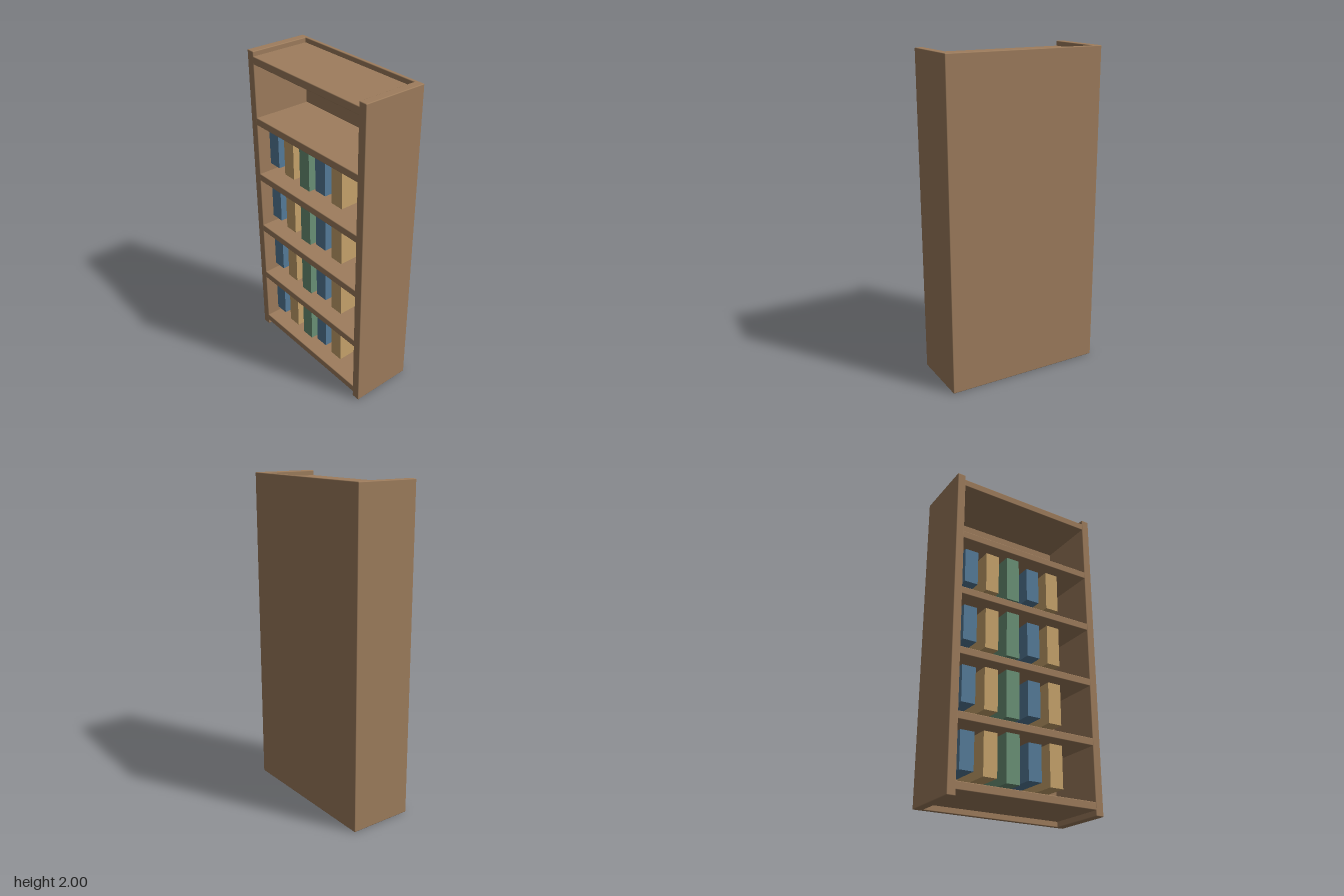
import * as THREE from 'three';
import { RoundedBoxGeometry } from 'three/addons/geometries/RoundedBoxGeometry.js';

function material(name, color) {
  const m = new THREE.MeshStandardMaterial({ color });
  m.name = name;
  return m;
}

export function createModel() {
  const group = new THREE.Group();
  group.name = 'bookcase';
  const wood = material('wood', 0x9e7d5d);
  const blue = material('blue cover', 0x567d9b);
  const tan = material('tan cover', 0xc9a56d);
  const green = material('green cover', 0x6c9378);

  function add(name, geometry, mat, x, y, z) {
    const mesh = new THREE.Mesh(geometry, mat);
    mesh.name = name;
    mesh.position.set(x, y, z);
    group.add(mesh);
  }
  const board = (w, h, d) => new RoundedBoxGeometry(w, h, d, 2, 0.005);

  // Upright sides and full back panel
  const side = board(0.053, 2, 0.4);
  add('leftSide', side, wood, 0.4735, 1, 0);
  add('rightSide', side, wood, -0.4735, 1, 0);
  add('backPanel', board(1, 2, 0.022), wood, 0, 1, -0.189);

  // Six evenly spaced shelves
  const pitch = 0.378;
  const firstShelf = 0.057;
  const shelf = board(0.91, 0.047, 0.39);
  for (let i = 0; i < 6; i++) {
    add(`shelf${i + 1}`, shelf, wood, 0, firstShelf + i * pitch, 0.004);
  }

  // Five books in each of the four lower bays, cycling through three sizes
  const kinds = [
    { mat: blue, h: 0.22 },
    { mat: tan, h: 0.255 },
    { mat: green, h: 0.288 },
  ].map(({ mat, h }) => ({ mat, geometry: new THREE.BoxGeometry(0.087, h, 0.288) }));
  for (let row = 0; row < 4; row++) {
    for (let i = 0; i < 5; i++) {
      const { mat, geometry } = kinds[i % 3];
      const y = firstShelf + row * pitch + 0.21;
      add(`book${row + 1}_${i + 1}`, geometry, mat, -0.36 + i * 0.145, y, 0);
    }
  }
  return group;
}
